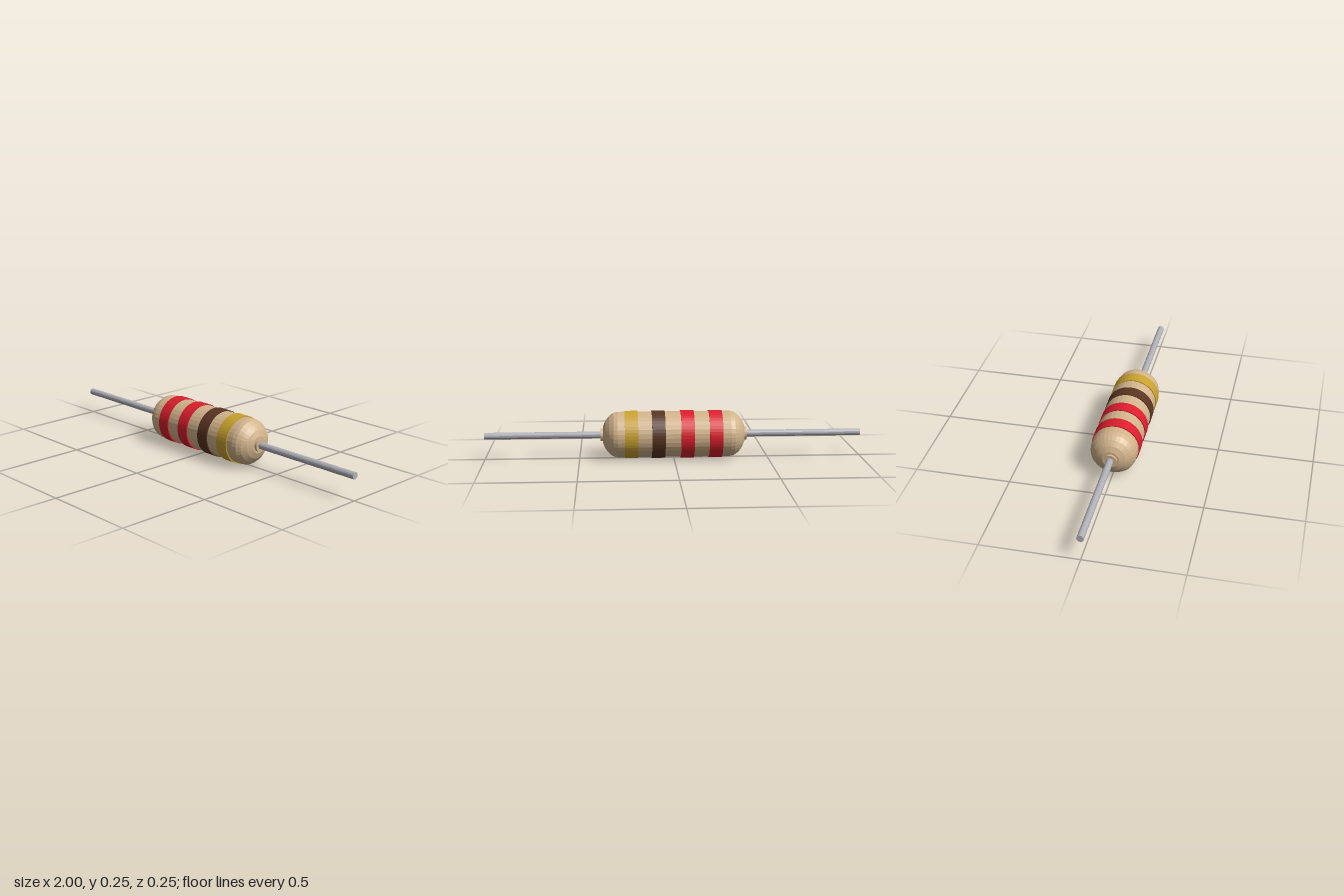
import * as THREE from 'three';

export function createModel() {
  const mat = (name, color) => {
    const m = new THREE.MeshStandardMaterial({ color, flatShading: true });
    m.name = name;
    return m;
  };
  const tan = mat('tan ceramic', 0xd2b48c);
  const metal = mat('lead metal', 0xb0b0b8);
  const red = mat('red paint', 0xdc1e2d);
  const brown = mat('brown paint', 0x5a3522);
  const gold = mat('gold paint', 0xc9a22f);

  const model = new THREE.Group();
  model.name = 'resistor';
  // Everything is turned about one axis, laid along x
  const axis = new THREE.Group();
  axis.name = 'turnedParts';
  axis.rotation.z = -Math.PI / 2;
  axis.position.y = 0.128;
  model.add(axis);

  const add = (name, geometry, material, x = 0) => {
    const mesh = new THREE.Mesh(geometry, material);
    mesh.name = name;
    mesh.position.y = x;
    axis.add(mesh);
  };
  const rod = (r, length, sides) => new THREE.CylinderGeometry(r, r, length, sides);

  // Body with rounded shoulders, profile mirrored end to end
  const half = [[0, 0.375], [0.045, 0.375], [0.075, 0.362], [0.1, 0.342], [0.116, 0.32], [0.121, 0.298]];
  const profile = [
    ...half.map(([r, x]) => new THREE.Vector2(r, -x)),
    ...half.slice().reverse().map(([r, x]) => new THREE.Vector2(r, x)),
  ];
  add('body', new THREE.LatheGeometry(profile, 32), tan);

  // Painted bands
  [[-0.219, red], [-0.07, red], [0.083, brown], [0.226, gold]].forEach(([x, m], i) =>
    add('band' + (i + 1), rod(0.126, 0.07, 48), m, x));

  // Collars and wire leads on both ends
  for (const [side, s] of [['left', 1], ['right', -1]]) {
    add(side + 'Collar', rod(0.034, 0.03, 24), tan, s * 0.373);
    add(side + 'Lead', rod(0.018, 0.64, 16), metal, s * 0.68);
  }
  return model;
}
